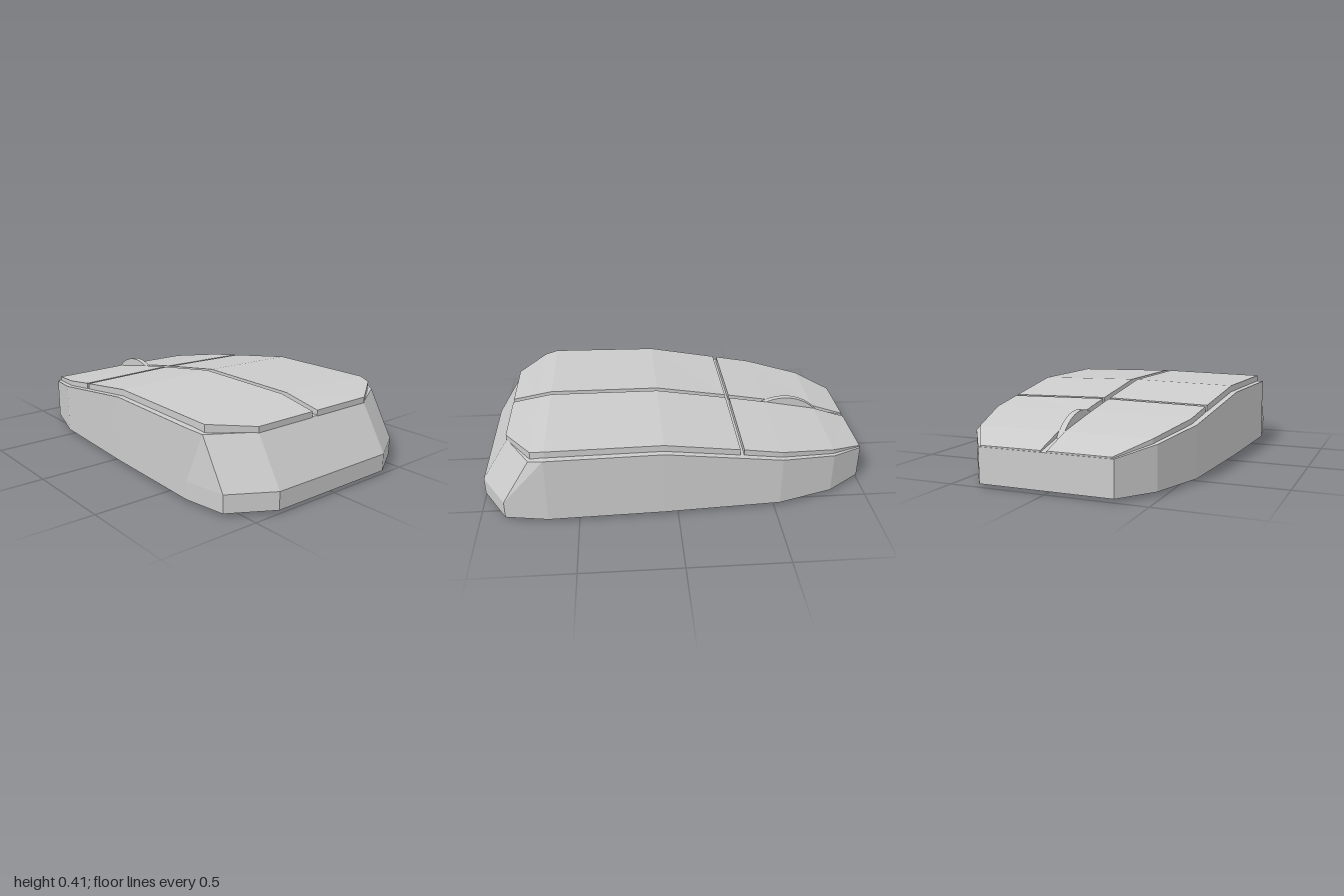
import * as THREE from 'three';

const material = new THREE.MeshStandardMaterial({ color: 0xcccccc, flatShading: true });

// Skin a list of closed loops (running from +z to -z, counter-clockwise seen from +z) and cap both ends.
function loft(loops, flip = false) {
  const pos = [];
  const tri = (a, b, c) => (flip ? [a, c, b] : [a, b, c]).forEach((p) => pos.push(...p));
  const n = loops[0].length;
  for (let i = 0; i < loops.length - 1; i++) {
    for (let j = 0; j < n; j++) {
      const k = (j + 1) % n;
      const a = loops[i][j], b = loops[i][k], c = loops[i + 1][k], d = loops[i + 1][j];
      tri(a, d, c);
      tri(a, c, b);
    }
  }
  const cap = (p, emit) => {
    const m = n - 2;
    for (let k = 0; k < m / 2; k++) {
      emit(p[k], p[k + 1], p[m - k]);
      if (k + 1 < m - k - 1) emit(p[k + 1], p[m - k - 1], p[m - k]);
    }
    emit(p[m], p[n - 1], p[0]);
  };
  cap(loops[0], tri);
  cap(loops[loops.length - 1], (a, b, c) => tri(a, c, b));
  const geo = new THREE.BufferGeometry();
  geo.setAttribute('position', new THREE.Float32BufferAttribute(pos, 3));
  geo.computeVertexNormals();
  return geo;
}

function add(parent, name, geometry) {
  const mesh = new THREE.Mesh(geometry, material);
  mesh.name = name;
  parent.add(mesh);
}

export function createModel() {
  const model = new THREE.Group();
  model.name = 'computerMouse';

  // Body shell: half width, z at the base, z at the rim, rim height, crown height, keel height
  const bodyStations = [
    [0.36, 1.0, 0.855, 0.345, 0.345, 0.02],
    [0.578, 0.872, 0.73, 0.347, 0.362, 0.004],
    [0.613, 0.655, 0.655, 0.366, 0.378, 0.003],
    [0.595, 0.07, 0.07, 0.366, 0.378, 0.003],
    [0.56, -0.53, -0.53, 0.281, 0.29, 0.003],
    [0.47, -0.82, -0.82, 0.235, 0.238, 0.004],
    [0.34, -1.0, -1.0, 0.195, 0.195, 0.02],
  ];
  add(model, 'body', loft(bodyStations.map(([x, zb, zt, rim, crown, keel]) => [
    [x, 0.02, zb], [x, 0.11, zb], [x, rim, zt], [0, crown, zt],
    [-x, rim, zt], [-x, 0.11, zb], [-x, 0.02, zb], [0, keel, zb],
  ])));

  // Raised cover panels: z, outer half width, outer top, inner top, underside
  const palmStations = [
    [0.857, 0.36, 0.372, 0.372, 0.34],
    [0.72, 0.56, 0.388, 0.398, 0.345],
    [0.65, 0.58, 0.4, 0.411, 0.362],
    [0.07, 0.565, 0.4, 0.411, 0.362],
    [-0.312, 0.543, 0.343, 0.353, 0.305],
  ];
  const buttonStations = [
    [-0.332, 0.541, 0.34, 0.35, 0.302],
    [-0.53, 0.532, 0.309, 0.317, 0.275],
    [-0.82, 0.448, 0.258, 0.262, 0.228],
    [-0.998, 0.33, 0.202, 0.203, 0.188],
  ];
  const gap = 0.016;
  const panel = (stations, side) => loft(stations.map(([z, x, outer, inner, under]) => [
    [side * gap, under, z], [side * x, under, z], [side * x, outer, z], [side * gap, inner, z],
  ]), side < 0);
  for (const [label, side] of [['left', 1], ['right', -1]]) {
    add(model, label + 'PalmPanel', panel(palmStations, side));
    add(model, label + 'Button', panel(buttonStations, side));
  }

  // Scroll wheel: the exposed arc rising between the buttons
  const arc = new THREE.Shape();
  arc.absarc(0.645, 0.085, 0.25, 0.62, Math.PI - 0.62, false);
  const wheel = new THREE.ExtrudeGeometry(arc, { depth: 0.03, bevelEnabled: false, curveSegments: 16 });
  wheel.translate(0, 0, -0.015).rotateY(Math.PI / 2);
  add(model, 'scrollWheel', wheel);

  return model;
}
